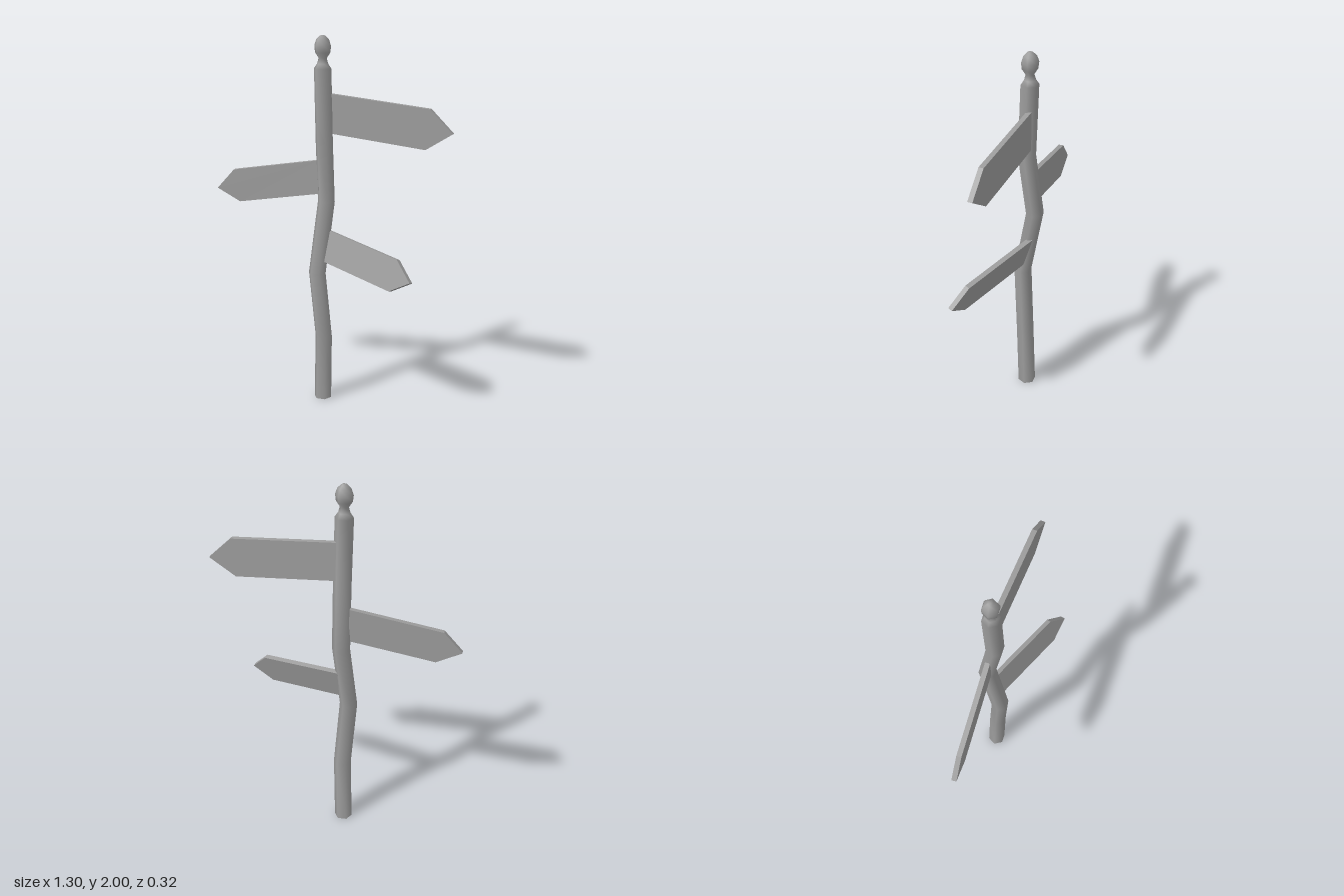
import * as THREE from 'three';
import { mergeVertices } from 'three/addons/utils/BufferGeometryUtils.js';

const woodMaterial = new THREE.MeshStandardMaterial({ color: 0x9d9d9d });
const postMaterial = new THREE.MeshStandardMaterial({ color: 0x9d9d9d, side: THREE.DoubleSide });

// Crooked hexagonal post, open below, with a turned knob: [radius, y, centre x, centre z]
const RINGS = [
  [0.048, 0, -0.046, -0.081],
  [0.047, 0.37, -0.038, -0.071],
  [0.047, 0.74, -0.066, -0.046],
  [0.047, 1.12, -0.038, -0.118],
  [0.047, 1.45, -0.035, -0.073],
  [0.047, 1.83, -0.046, -0.081],
  [0.03, 1.855, -0.046, -0.081],
  [0.022, 1.882, -0.046, -0.081],
  [0.041, 1.912, -0.046, -0.081],
  [0.045, 1.945, -0.046, -0.081],
  [0.034, 1.978, -0.046, -0.081],
  [0.014, 1.996, -0.046, -0.081],
  [0, 2, -0.046, -0.081],
];

function createPost() {
  const profile = RINGS.map(([r, y]) => new THREE.Vector2(r, y));
  let geo = new THREE.LatheGeometry(profile, 6, Math.PI / 2);
  const pos = geo.attributes.position;
  // Shift each ring onto the bent centre line
  for (let i = 0; i < pos.count; i++) {
    const [, , cx, cz] = RINGS[i % RINGS.length];
    pos.setX(i, pos.getX(i) + cx);
    pos.setZ(i, pos.getZ(i) + cz);
  }
  // Weld the seam so the shading is smooth all round
  geo.deleteAttribute('normal');
  geo.deleteAttribute('uv');
  geo = mergeVertices(geo, 1e-4);
  geo.computeVertexNormals();
  const post = new THREE.Mesh(geo, postMaterial);
  post.name = 'post';
  return post;
}

// Pointed board drawn by its front outline, lying in the plane z = a + b*x + c*y
function createBoard(name, corners, [a, b, c], thickness = 0.026) {
  const shape = new THREE.Shape(corners.map(([x, y]) => new THREE.Vector2(x, y)));
  const geo = new THREE.ExtrudeGeometry(shape, { depth: thickness, bevelEnabled: false });
  geo.translate(0, 0, -thickness / 2);
  const normal = new THREE.Vector3(-b, -c, 1).normalize();
  const pos = geo.attributes.position;
  const p = new THREE.Vector3();
  for (let i = 0; i < pos.count; i++) {
    const x = pos.getX(i), y = pos.getY(i);
    p.set(x, y, a + b * x + c * y).addScaledVector(normal, pos.getZ(i));
    pos.setXYZ(i, p.x, p.y, p.z);
  }
  geo.computeVertexNormals();
  const board = new THREE.Mesh(geo, woodMaterial);
  board.name = name;
  return board;
}

export function createModel() {
  const group = new THREE.Group();
  group.name = 'signpost';
  group.add(
    createPost(),
    createBoard('upperBoard',
      [[-0.01, 1.702], [-0.01, 1.496], [0.512, 1.45], [0.65, 1.54], [0.53, 1.657]],
      [-0.09, 0.088, 0]),
    createBoard('middleBoard',
      [[-0.08, 1.345], [-0.555, 1.263], [-0.652, 1.155], [-0.522, 1.088], [-0.072, 1.165]],
      [-0.099, 0, 0]),
    createBoard('lowerBoard',
      [[-0.02, 0.967], [-0.035, 0.803], [0.38, 0.738], [0.495, 0.802], [0.412, 0.899]],
      [0.202, 0.39, -0.306]),
  );
  return group;
}
